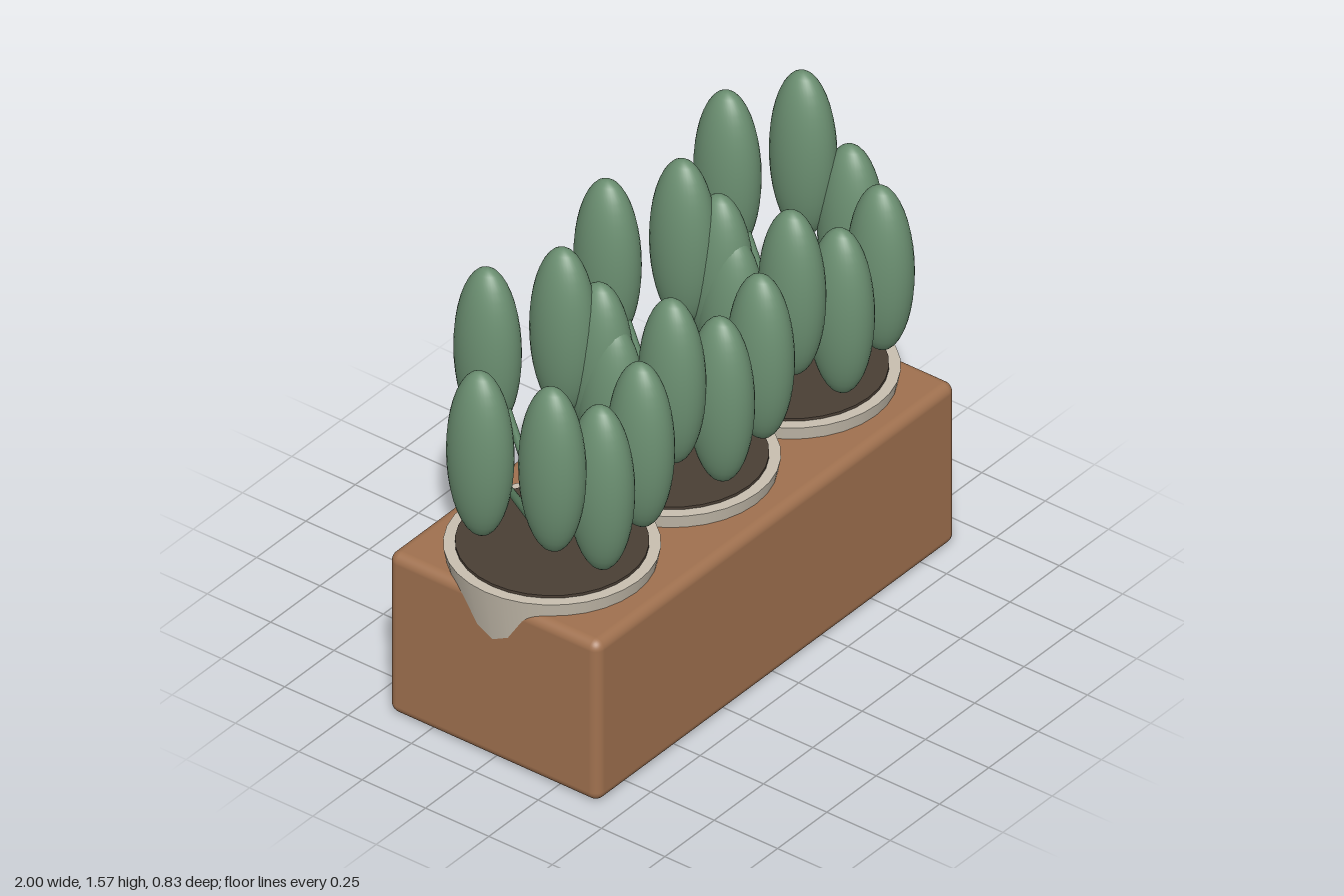
import * as THREE from 'three';
import { RoundedBoxGeometry } from 'three/addons/geometries/RoundedBoxGeometry.js';

const material = (name, color) => {
  const m = new THREE.MeshStandardMaterial({ color });
  m.name = name;
  return m;
};

// Leaf centres relative to the pot axis: [x, y, z]
const LEAVES = [
  [0.30, 1.02, 0], [0.18, 1.02, 0.21], [-0.08, 1.02, 0.255],
  [-0.23, 1.14, 0.18], [-0.30, 1.14, -0.05],
  [0.02, 1.263, -0.27], [0.25, 1.263, -0.15],
];

export function createModel() {
  const terracotta = material('terracotta', 0xa0714f);
  const clay = material('pale clay', 0xc9c0b0);
  const earth = material('soil', 0x4a3f35);
  const leafGreen = material('leaf green', 0x6b8f71);
  const stemGreen = material('stem green', 0x5f8566);

  const model = new THREE.Group();
  model.name = 'planter';

  const add = (parent, name, geometry, mat, x, y, z) => {
    const mesh = new THREE.Mesh(geometry, mat);
    mesh.name = name;
    mesh.position.set(x, y, z);
    parent.add(mesh);
    return mesh;
  };

  // Rounded trough
  add(model, 'trough', new RoundedBoxGeometry(1.82, 0.607, 0.83, 4, 0.035), terracotta, 0, 0.3035, 0);

  // Shared geometry for the three plants
  const potGeometry = new THREE.CylinderGeometry(0.34, 0.235, 0.555, 32);
  const soilGeometry = new THREE.CylinderGeometry(0.303, 0.303, 0.04, 32);
  const leafGeometry = new THREE.SphereGeometry(1, 32, 20).scale(0.09, 0.308, 0.116);
  const up = new THREE.Vector3(0, 1, 0);
  const base = new THREE.Vector3(0, 0.65, 0);

  for (const x of [-0.608, 0, 0.608]) {
    const plant = new THREE.Group();
    plant.name = 'pottedPlant';
    plant.position.x = x;
    model.add(plant);

    // Tapered pot and soil disc
    add(plant, 'pot', potGeometry, clay, 0, 0.3775, 0);
    add(plant, 'soil', soilGeometry, earth, 0, 0.645, 0);

    // Stems fan out from the centre, each ending at its leaf
    for (const [lx, ly, lz] of LEAVES) {
      const tip = base.clone().lerp(new THREE.Vector3(lx, ly, lz), 0.7);
      const span = tip.clone().sub(base);
      const mid = base.clone().lerp(tip, 0.5);
      const stem = add(plant, 'stem', new THREE.CylinderGeometry(0.012, 0.018, span.length(), 10),
        stemGreen, mid.x, mid.y, mid.z);
      stem.quaternion.setFromUnitVectors(up, span.normalize());
      add(plant, 'leaf', leafGeometry, leafGreen, lx, ly, lz);
    }
  }
  return model;
}
